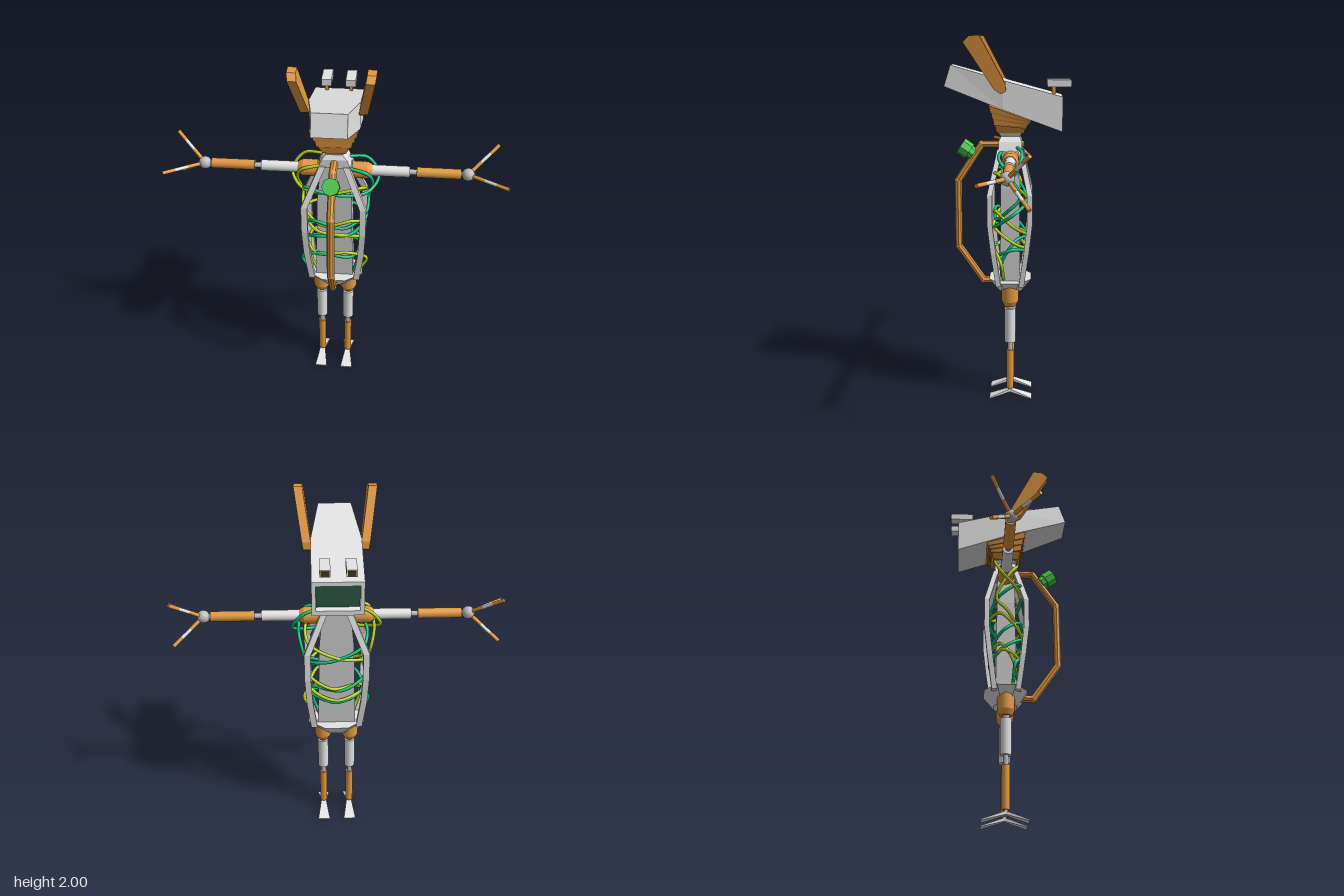
import * as THREE from 'three';

const mat = (name, color) => Object.assign(new THREE.MeshStandardMaterial({ color }), { name });
const orange = mat('orange', 0xe2993f);
const grey = mat('grey', 0xe4e4e4);
const columnGrey = mat('columnGrey', 0xcacaca);
const jointGrey = mat('jointGrey', 0xbcbcc2);
const green = mat('green', 0x4acb4e);
const teal = mat('tealWire', 0x0cc47e);
const lime = mat('limeWire', 0xb8d41c);
const screenGreen = mat('screenGreen', 0x2c5641);
const dark = mat('darkBrown', 0x4a3418);
const ZC = -0.015; // body axis

// Closed solid through sections of equal point count, counter-clockwise along the path
function loft(sections) {
  const pos = [];
  const n = sections[0].length;
  const tri = (...p) => p.forEach(v => pos.push(...v));
  for (let s = 0; s < sections.length - 1; s++) {
    const a = sections[s], b = sections[s + 1];
    for (let i = 0; i < n; i++) {
      const j = (i + 1) % n;
      tri(a[i], a[j], b[j]);
      tri(a[i], b[j], b[i]);
    }
  }
  const first = sections[0], last = sections[sections.length - 1];
  for (let i = 1; i < n - 1; i++) {
    tri(first[0], first[i + 1], first[i]);
    tri(last[0], last[i], last[i + 1]);
  }
  const g = new THREE.BufferGeometry();
  g.setAttribute('position', new THREE.Float32BufferAttribute(pos, 3));
  g.computeVertexNormals();
  return g;
}
// Rectangular section across y (optionally sloping up to the front), and one across z
const ySec = (y, hx, hz, x = 0, z = ZC, slope = 0) => {
  const d = slope * hz;
  return [[x + hx, y + d, z + hz], [x + hx, y - d, z - hz], [x - hx, y - d, z - hz], [x - hx, y + d, z + hz]];
};
const zSec = (hw, yb, yt, zb, zt = zb) => [[hw, yb, zb], [hw, yt, zt], [-hw, yt, zt], [-hw, yb, zb]];

function add(parent, name, geometry, material) {
  const m = new THREE.Mesh(geometry, material);
  m.name = name;
  parent.add(m);
  return m;
}
const box = (parent, name, material, w, h, d, x, y, z) =>
  add(parent, name, new THREE.BoxGeometry(w, h, d).translate(x, y, z), material);

// Faceted copy of a geometry
function faceted(geometry) {
  const g = geometry.toNonIndexed();
  g.computeVertexNormals();
  return g;
}

// Straight rod between two points; rods with few sides are faceted
function rod(parent, name, material, a, b, r0, r1 = r0, sides = 18) {
  const A = new THREE.Vector3(...a), B = new THREE.Vector3(...b);
  const g = new THREE.CylinderGeometry(r1, r0, A.distanceTo(B), sides);
  const m = add(parent, name, sides < 10 ? faceted(g) : g, material);
  m.position.copy(A).lerp(B, 0.5);
  m.quaternion.setFromUnitVectors(new THREE.Vector3(0, 1, 0), B.sub(A).normalize());
}

function buildHead(root) {
  const head = new THREE.Group();
  head.name = 'head';
  root.add(head);
  // Casing with a recessed opening at the back
  add(head, 'headCasing', loft([
    zSec(0.108, 1.545, 1.668, -0.255), zSec(0.108, 1.535, 1.668, -0.288),
    zSec(0.128, 1.51, 1.69, -0.288), zSec(0.128, 1.622, 1.773, 0.02),
    zSec(0.086, 1.74, 1.85, 0.33, 0.295),
  ]), grey);
  box(head, 'screen', screenGreen, 0.214, 0.125, 0.006, 0, 1.605, -0.259);

  // Ears: flat slanted blades leaning outward
  const outline = [[0.22, 1.965], [0.19, 1.995], [0.137, 2.0], [0.008, 1.76], [0.005, 1.72], [0.03, 1.705], [0.065, 1.727]];
  for (const s of [1, -1]) {
    const t = 0.044;
    const g = new THREE.ExtrudeGeometry(new THREE.Shape(outline.map(p => new THREE.Vector2(...p))), { depth: t, bevelEnabled: false });
    g.rotateY(-Math.PI / 2).translate(t / 2, 0, 0);
    const p = g.attributes.position;
    for (let i = 0; i < p.count; i++) p.setX(i, p.getX(i) + s * (0.143 + 0.155 * (p.getY(i) - 1.72)));
    g.computeVertexNormals();
    add(head, 'ear', g, orange);
    // Small boxes on stalks above the screen
    box(head, 'stalk', orange, 0.018, 0.06, 0.02, s * 0.063, 1.72, -0.242);
    box(head, 'sensor', grey, 0.052, 0.036, 0.125, s * 0.063, 1.757, -0.27);
    box(head, 'sensorFace', dark, 0.04, 0.026, 0.006, s * 0.063, 1.757, -0.333);
  }
  // Stepped neck funnel: each ring [y, half width, half depth, slope] tapers to the next
  const rings = [[1.605, 0.122, 0.11, 0.36], [1.578, 0.108, 0.098, 0.28], [1.555, 0.095, 0.089, 0.2], [1.53, 0.082, 0.081, 0.1], [1.495, 0.052, 0.066, 0]];
  for (let i = 0; i < 4; i++) {
    const [y, hx, hz, slope] = rings[i], [y2, hx2, hz2, slope2] = rings[i + 1];
    add(head, 'neckRing', loft([ySec(y2, hx2 + 0.007, hz2 + 0.005, 0, ZC, slope2), ySec(y, hx, hz, 0, ZC, slope)]), orange);
  }
  add(head, 'neckCollar', loft([ySec(1.4, 0.085, 0.06), ySec(1.45, 0.065, 0.062), ySec(1.475, 0.042, 0.05), ySec(1.5, 0.055, 0.066)]), grey);
}

function buildBody(root) {
  const body = new THREE.Group();
  body.name = 'body';
  root.add(body);
  add(body, 'spineColumn', loft([ySec(0.67, 0.105, 0.055), ySec(1.2, 0.092, 0.05), ySec(1.42, 0.07, 0.045)]), columnGrey);
  // Four bowed struts
  for (const s of [1, -1]) for (const f of [1, -1]) {
    const path = [[0.67, 0.125, 0.062], [0.86, 0.148, 0.088], [1.02, 0.156, 0.106], [1.18, 0.156, 0.106], [1.41, 0.062, 0.055]];
    add(body, f > 0 ? 'frontStrut' : 'backStrut',
      loft(path.map(([y, x, z]) => ySec(y, 0.017, 0.014, s * x, ZC + f * z))), grey);
  }
  // Pelvis bowl
  const pelvis = faceted(new THREE.CylinderGeometry(0.168, 0.09, 0.075, 8));
  pelvis.rotateY(Math.PI / 8).scale(1, 1, 0.74).translate(0, 0.655, ZC);
  add(body, 'pelvis', pelvis, grey);

  // Bent handle in front with a plug on its upper bend
  const pts = [[0.02, 1.43], [0.14, 1.43], [0.27, 1.23], [0.27, 0.865], [0.135, 0.67], [0.06, 0.67]].map(([z, y]) => [0, y, z]);
  for (let i = 0; i < pts.length - 1; i++) {
    rod(body, 'handleTube', orange, pts[i], pts[i + 1], 0.02, 0.02, 8);
    if (i) add(body, 'handleBend', new THREE.SphereGeometry(0.02, 12, 8).translate(...pts[i]), orange);
  }
  rod(body, 'plugBase', green, [0, 1.375, 0.185], [0, 1.398, 0.218], 0.036, 0.036, 8);
  rod(body, 'plug', green, [0, 1.39, 0.207], [0, 1.422, 0.253], 0.046, 0.046, 8);
}

// Loose cables winding around the column, mirrored in the second colour
function buildWires(root) {
  const wires = [
    [[0.06, 1.42, -0.05], [0.17, 1.4, -0.08], [0.23, 1.31, -0.05], [0.17, 1.25, 0.03], [0, 1.25, 0.07], [-0.15, 1.28, 0.05], [-0.15, 1.2, -0.06],
      [0.02, 1.12, -0.1], [0.17, 1.08, -0.04], [0.1, 1.0, 0.06], [-0.1, 0.97, 0.06], [-0.14, 0.9, -0.04], [0, 0.85, -0.1],
      [0.15, 0.88, -0.03], [0.1, 0.84, 0.06], [-0.08, 0.86, 0.07], [-0.18, 0.8, 0.03], [-0.14, 0.71, 0.02]],
    [[0.05, 1.4, 0.03], [0.17, 1.37, 0.04], [0.2, 1.28, -0.02], [0.18, 1.17, -0.07], [0.17, 1.1, -0.01], [0.06, 1.03, 0.06],
      [-0.1, 1.07, 0.06], [-0.16, 1.0, -0.03], [-0.03, 0.93, -0.1], [0.13, 0.92, -0.04], [0.13, 0.8, 0.03], [0.1, 0.7, 0.02]],
  ];
  for (const w of wires) for (const s of [1, -1]) {
    const curve = new THREE.CatmullRomCurve3(w.map(([x, y, z]) => new THREE.Vector3(s * x, y + (s < 0 ? 0.012 : 0), z)));
    add(root, 'wire', new THREE.TubeGeometry(curve, 160, 0.009, 14), s > 0 ? teal : lime);
  }
}

function buildArm(root, s) {
  const arm = new THREE.Group();
  arm.name = s > 0 ? 'leftArm' : 'rightArm';
  root.add(arm);
  const P = x => [s * x, 1.36, -0.018];
  const seg = (name, m, a, b, r0, r1) => rod(arm, name, m, P(a), P(b), r0, r1);
  seg('shoulder', orange, 0.09, 0.17, 0.045);
  seg('shoulderBevel', orange, 0.17, 0.195, 0.045, 0.032);
  seg('upperArm', grey, 0.195, 0.39, 0.029);
  seg('elbow', jointGrey, 0.39, 0.425, 0.015);
  seg('forearm', orange, 0.425, 0.655, 0.027);
  seg('wrist', jointGrey, 0.65, 0.68, 0.014);
  add(arm, 'hand', new THREE.SphereGeometry(0.034, 16, 12).translate(...P(0.692)), jointGrey);
  // Three jointed fingers
  const hub = new THREE.Vector3(...P(0.692));
  for (const t of [[0.845, 1.485, -0.12], [0.845, 1.245, -0.12], [0.89, 1.362, 0.11]]) {
    const tip = new THREE.Vector3(s * t[0], t[1], t[2]);
    const at = k => hub.clone().lerp(tip, k).toArray();
    rod(arm, 'fingerBase', orange, at(0.1), at(0.42), 0.0105);
    rod(arm, 'fingerMiddle', grey, at(0.42), at(0.71), 0.0095);
    rod(arm, 'fingerTip', orange, at(0.71), at(1), 0.01);
  }
}

function buildLeg(root, s) {
  const leg = new THREE.Group();
  leg.name = s > 0 ? 'leftLeg' : 'rightLeg';
  root.add(leg);
  const x = s * 0.077;
  const seg = (name, m, a, b, r0, r1) => rod(leg, name, m, [x, a, ZC], [x, b, ZC], r0, r1);
  seg('hip', orange, 0.575, 0.66, 0.047);
  seg('hipBevel', orange, 0.545, 0.575, 0.033, 0.047);
  seg('hipJoint', jointGrey, 0.52, 0.55, 0.02);
  seg('thigh', grey, 0.335, 0.53, 0.03);
  seg('knee', jointGrey, 0.28, 0.34, 0.014);
  seg('shin', orange, 0.058, 0.285, 0.021);
  seg('ankle', jointGrey, 0.04, 0.06, 0.012);
  // Arched foot, narrow in the middle
  add(leg, 'foot', loft([zSec(0.035, 0, 0.006, -0.137), zSec(0.014, 0.034, 0.052, ZC), zSec(0.035, 0, 0.006, 0.1)])
    .translate(x, 0, 0), grey);
}

export function createModel() {
  const root = new THREE.Group();
  root.name = 'robot';
  buildHead(root);
  buildBody(root);
  buildWires(root);
  for (const s of [1, -1]) {
    buildArm(root, s);
    buildLeg(root, s);
  }
  return root;
}
